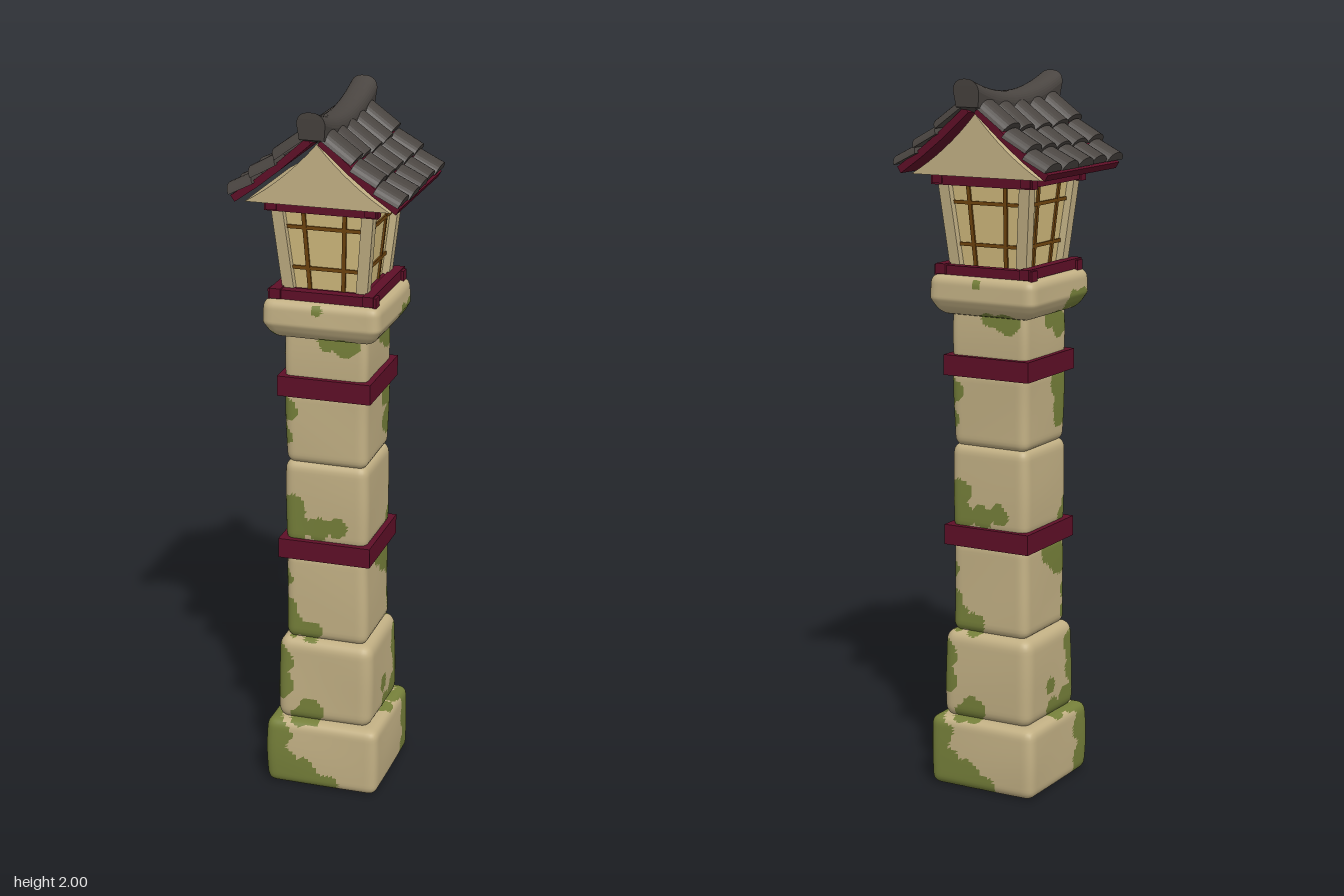
import * as THREE from 'three';
import { mergeVertices } from 'three/addons/utils/BufferGeometryUtils.js';

const mat = (name, color) => Object.assign(new THREE.MeshStandardMaterial({ color }), { name });

export function createModel() {
  const model = new THREE.Group();
  model.name = 'stoneLantern';
  const stone = mat('stone', 0xc2b084);
  const moss = mat('moss', 0x76803a);
  const red = mat('redWood', 0x5e0f27);
  const slate = mat('slateTile', 0x4a4541);
  const paper = mat('paperPane', 0xd6bf80);
  const brown = mat('brownLattice', 0x70450f);

  const add = (name, geometry, material, parent = model) => {
    const mesh = new THREE.Mesh(geometry, material);
    mesh.name = name;
    parent.add(mesh);
    return mesh;
  };
  const box = (name, size, pos, material, parent = model) => {
    const mesh = add(name, new THREE.BoxGeometry(...size), material, parent);
    mesh.position.set(...pos);
    return mesh;
  };

  // Moss spots [x, y, z, radius]; each one repeats half a turn around the pillar
  const spots = [
    [-0.17, 0.14, 0.16, 0.08], [-0.15, 0.05, 0.17, 0.09], [-0.06, 0.03, 0.17, 0.06], [0.01, 0.01, 0.17, 0.04],
    [-0.04, 0.23, 0.14, 0.04], [-0.07, 0.21, 0.14, 0.03], [0.165, 0.06, -0.15, 0.05], [0.165, 0.02, -0.12, 0.04],
    [0.14, 0.38, -0.12, 0.05], [0.14, 0.31, -0.13, 0.05], [0.14, 0.23, -0.08, 0.045], [0.14, 0.22, -0.01, 0.035],
    [0.14, 0.29, 0.01, 0.025], [-0.12, 0.54, 0.12, 0.035], [-0.1, 0.49, 0.12, 0.04], [-0.045, 0.475, 0.12, 0.035],
    [0.12, 0.68, -0.01, 0.035], [0.12, 0.66, -0.06, 0.05], [0.12, 0.63, -0.09, 0.035],
    [-0.09, 0.85, 0.12, 0.036], [-0.09, 0.79, 0.12, 0.045], [-0.02, 0.79, 0.12, 0.035], [0.035, 0.8, 0.12, 0.03],
    [0.12, 0.77, -0.09, 0.025], [0.12, 1.15, -0.06, 0.038], [0.12, 1.14, -0.1, 0.045], [0.12, 1.07, -0.08, 0.045],
    [0.01, 1.35, 0.12, 0.03], [0.06, 1.34, 0.12, 0.037], [0.12, 1.34, -0.02, 0.03], [0.12, 1.32, -0.07, 0.04],
    [0.15, 1.385, -0.07, 0.033], [0.15, 1.385, -0.12, 0.035], [-0.01, 1.445, 0.165, 0.015],
  ];
  const isMossy = (x, y, z) => spots.some(([a, b, c, r]) => {
    const wobble = 1 + 0.13 * Math.sin(75 * y + 50 * x) * Math.sin(65 * (x - z));
    return Math.min(Math.hypot(x - a, y - b, z - c), Math.hypot(x + a, y - b, z + c)) < r * wobble;
  });

  // Worn rounded block, its triangles split between bare stone and moss
  function block(name, y0, y1, hx, hz, radius, shape) {
    const h = [hx, (y1 - y0) / 2, hz];
    const g = new THREE.BoxGeometry(hx * 2, y1 - y0, hz * 2, 28, 24, 28);
    const pos = g.attributes.position, p = new THREE.Vector3(), inner = new THREE.Vector3();
    for (let i = 0; i < pos.count; i++) {
      p.fromBufferAttribute(pos, i);
      inner.copy(p);
      ['x', 'y', 'z'].forEach((k, a) => {
        inner[k] = THREE.MathUtils.clamp(p[k], radius - h[a], h[a] - radius);
      });
      p.sub(inner).normalize().multiplyScalar(radius).add(inner);
      const s = shape(p.y / (y1 - y0) + 0.5);
      const chip = 1 + 0.012 * Math.sin(17 * p.y + 9 * y0 + 11 * p.x) * Math.cos(14 * p.z + 5 * y0);
      pos.setXYZ(i, p.x * s * chip, p.y + (y0 + y1) / 2, p.z * s * chip);
    }
    g.deleteAttribute('uv');
    g.deleteAttribute('normal');
    g.clearGroups();
    const merged = mergeVertices(g, 1e-5), q = merged.attributes.position, index = merged.index.array;
    const lists = [[], []];
    for (let i = 0; i < index.length; i += 3) {
      const t = [index[i], index[i + 1], index[i + 2]];
      const c = ['getX', 'getY', 'getZ'].map((f) => (q[f](t[0]) + q[f](t[1]) + q[f](t[2])) / 3);
      lists[isMossy(...c) ? 1 : 0].push(...t);
    }
    merged.setIndex([...lists[0], ...lists[1]]);
    merged.addGroup(0, lists[0].length, 0);
    merged.addGroup(lists[0].length, lists[1].length, 1);
    merged.computeVertexNormals();
    add(name, merged, [stone, moss]);
  }
  const bulge = (t) => 0.98 + 0.02 * Math.sin(Math.PI * t);
  block('baseBlock', 0, 0.203, 0.167, 0.17, 0.025, bulge);
  block('lowerBlock', 0.195, 0.452, 0.14, 0.14, 0.032, bulge);
  block('shaftBlock1', 0.447, 0.715, 0.121, 0.121, 0.026, (t) => 0.99 - 0.03 * t * t);
  block('shaftBlock2', 0.74, 0.988, 0.121, 0.121, 0.026, bulge);
  block('shaftBlock3', 0.98, 1.2, 0.12, 0.12, 0.026, (t) => 0.97 + 0.03 * t);
  block('shaftBlock4', 1.22, 1.375, 0.119, 0.119, 0.02, bulge);
  block('capStone', 1.352, 1.465, 0.166, 0.166, 0.026, (t) => (t < 0.4 ? 0.86 + 0.35 * t : 1 - 0.03 * (t - 0.4)));

  // Red bands around the shaft
  [0.728, 1.21].forEach((y) => box('redBand', [0.266, 0.057, 0.266], [0, y, 0], red));

  // Crossing red beams below and above the lamp housing
  function beamFrame(name, y, half, offset, height) {
    const frame = new THREE.Group();
    frame.name = name;
    for (const s of [-1, 1]) {
      box('beamX', [half * 2, height, 0.03], [0, y, s * offset], red, frame);
      box('beamZ', [0.03, height, half * 2], [s * offset, y + 0.004, 0], red, frame);
    }
    box('plate', [offset * 2, height * 0.7, offset * 2], [0, y, 0], red, frame);
    model.add(frame);
  }
  beamFrame('lowerFrame', 1.475, 0.152, 0.13, 0.028);
  beamFrame('upperFrame', 1.722, 0.157, 0.137, 0.028);

  // Lamp housing: flared paper core, lattice bars and corner posts
  const lampBottom = 1.485, lampTop = 1.715;
  const flare = (y, bottom, top) => THREE.MathUtils.mapLinear(y, lampBottom, lampTop, bottom, top);
  const core = new THREE.BoxGeometry(2, lampTop - lampBottom, 2);
  core.translate(0, (lampTop + lampBottom) / 2, 0);
  const cp = core.attributes.position;
  for (let i = 0; i < cp.count; i++) {
    const s = flare(cp.getY(i), 0.098, 0.122);
    cp.setXYZ(i, cp.getX(i) * s, cp.getY(i), cp.getZ(i) * s);
  }
  core.computeVertexNormals();
  add('paperPanes', core, paper);

  function bar(name, from, to, width, depth, material, parent) {
    const a = new THREE.Vector3(...from), b = new THREE.Vector3(...to);
    const mesh = box(name, [width, a.distanceTo(b), depth], a.clone().add(b).multiplyScalar(0.5).toArray(), material, parent);
    mesh.quaternion.setFromUnitVectors(new THREE.Vector3(0, 1, 0), b.sub(a).normalize());
  }
  for (let k = 0; k < 4; k++) {
    const side = new THREE.Group();
    side.name = 'lampSide';
    side.rotation.y = k * Math.PI / 2;
    for (const s of [-1, 1]) {
      bar('latticeUpright', [s * 0.047, lampBottom, 0.099], [s * 0.058, lampTop, 0.123], 0.011, 0.009, brown, side);
    }
    for (const y of [1.545, 1.66]) {
      const w = flare(y, 0.098, 0.122);
      box('latticeRail', [w * 2, 0.01, 0.008], [0, y, w + 0.001], brown, side);
    }
    bar('cornerPost', [0.103, lampBottom, 0.103], [0.126, lampTop, 0.126], 0.032, 0.032, stone, side);
    model.add(side);
  }

  // Gable body with gently hollow slopes
  const gable = new THREE.Shape();
  gable.moveTo(-0.2, 1.737);
  gable.lineTo(0.2, 1.737);
  gable.quadraticCurveTo(0.09, 1.8, 0, 1.905);
  gable.quadraticCurveTo(-0.09, 1.8, -0.2, 1.737);
  const gableGeo = new THREE.ExtrudeGeometry(gable, { depth: 0.37, bevelEnabled: false, curveSegments: 8 });
  add('gable', gableGeo.translate(0, 0, -0.185), stone);

  // Red boards and overlapping barrel tiles on each slope
  const slope = [[0.02, 1.928], [0.105, 1.853], [0.168, 1.803], [0.232, 1.758]];
  const arch = new THREE.Shape();
  arch.moveTo(-0.046, -0.008);
  arch.quadraticCurveTo(-0.036, 0.018, 0, 0.018);
  arch.quadraticCurveTo(0.036, 0.018, 0.046, -0.008);
  arch.closePath();
  const board = new THREE.Shape();
  slope.forEach(([x, y], i) => (i ? board.lineTo(x, y - 0.002) : board.moveTo(x, y - 0.002)));
  [...slope].reverse().forEach(([x, y]) => board.lineTo(x - 0.011, y - 0.019));
  board.closePath();

  for (const turn of [0, Math.PI]) {
    const half = new THREE.Group();
    half.name = 'roofSlope';
    half.rotation.y = turn;
    const boardGeo = new THREE.ExtrudeGeometry(board, { depth: 0.41, bevelEnabled: false });
    add('redRoofBoard', boardGeo.translate(0, 0, -0.205), red, half);
    for (let row = 0; row < 3; row++) {
      for (let col = -2; col <= 2; col++) {
        const n = row * 5 + col;
        const lift = 0.006 * (2 - row) * (col * col / 4 - 0.4);
        const a = new THREE.Vector3(slope[row][0], slope[row][1] + lift, 0);
        const b = new THREE.Vector3(slope[row + 1][0], slope[row + 1][1] + lift + 0.013, 0);
        b.x += 0.004 * Math.sin(n * 4.7);
        const d = b.clone().sub(a), length = d.length() + 0.004;
        d.normalize();
        const normal = new THREE.Vector3(-d.y, d.x, 0);
        const m = new THREE.Matrix4().makeBasis(normal.clone().cross(d), normal, d);
        a.z = col * 0.0885 + 0.002 * Math.sin(n * 2.3);
        m.setPosition(a);
        const tile = new THREE.ExtrudeGeometry(arch, { depth: length, bevelEnabled: false, curveSegments: 6 });
        add('roofTile', tile.applyMatrix4(m), slate, half);
      }
    }
    model.add(half);
  }

  // Ridge beam, round on top and sagging at the middle
  const ridge = new THREE.Shape();
  ridge.moveTo(-0.034, -0.038);
  ridge.lineTo(0.034, -0.038);
  ridge.lineTo(0.039, 0.005);
  ridge.quadraticCurveTo(0.036, 0.037, 0, 0.037);
  ridge.quadraticCurveTo(-0.036, 0.037, -0.039, 0.005);
  ridge.closePath();
  const ridgeGeo = new THREE.ExtrudeGeometry(ridge, { depth: 0.472, steps: 14, bevelEnabled: false, curveSegments: 8 });
  ridgeGeo.translate(0, 0, -0.236);
  const rp = ridgeGeo.attributes.position;
  for (let i = 0; i < rp.count; i++) {
    const t = rp.getZ(i) / 0.236, y = rp.getY(i);
    rp.setY(i, y + 1.92 + 0.043 * t * t);
    rp.setZ(i, rp.getZ(i) * (1 + 0.6 * Math.min(0, y - 0.03)));
  }
  ridgeGeo.computeVertexNormals();
  add('ridgeBeam', ridgeGeo, slate);

  return model;
}
